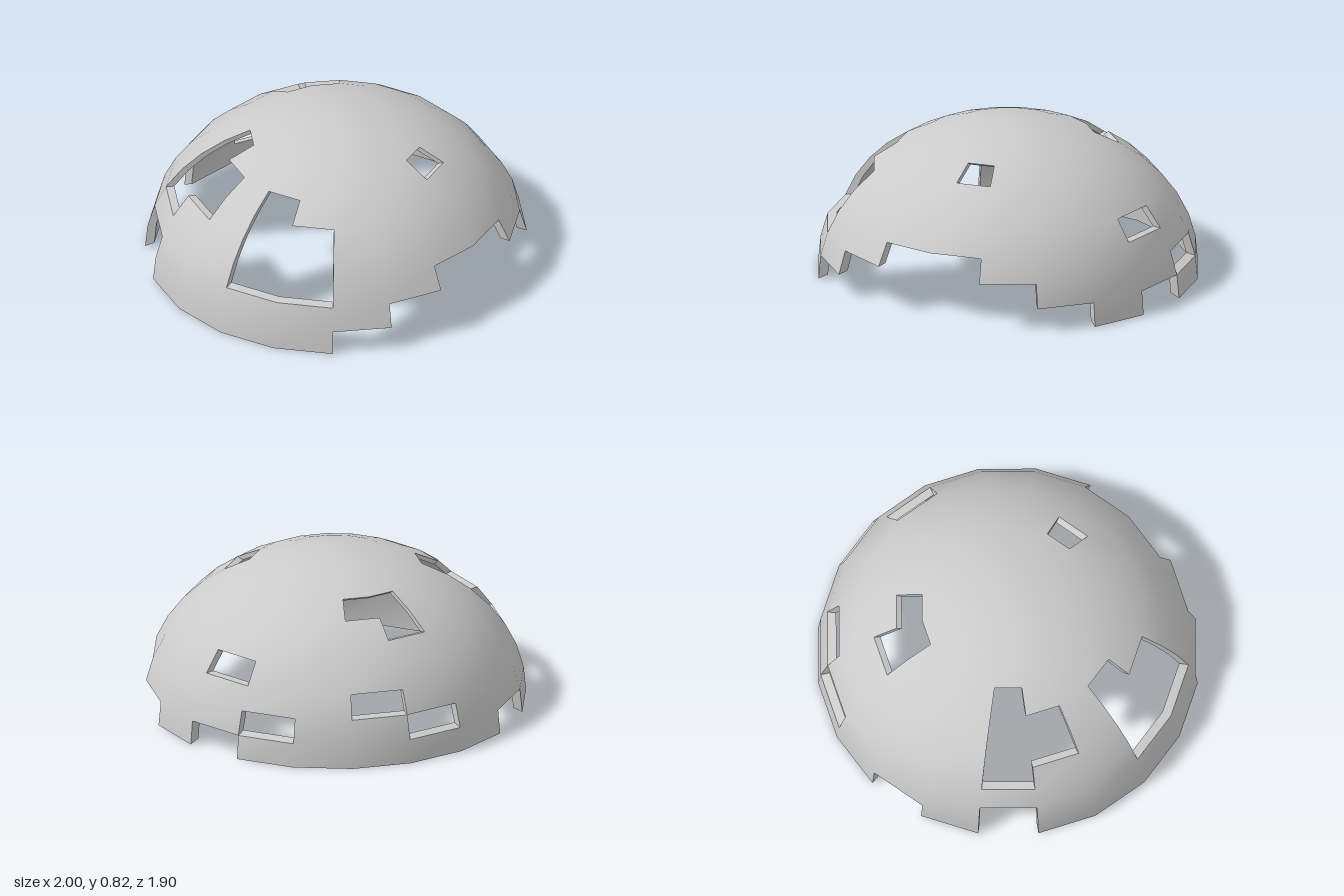
import * as THREE from 'three';
import { toCreasedNormals } from 'three/addons/utils/BufferGeometryUtils.js';

const SECTORS = 20, RINGS = 10;
const HEIGHT = 0.82, CENTRE_Z = 0.048, INNER_SCALE = 0.95;

// Missing panels: sector (counted from +x towards +z) -> rings (counted from the ground)
const GAPS = {
  0: [0, 3], 2: [0], 3: [0, 1], 4: [0, 1, 2, 6], 5: [0, 1, 2], 6: [0, 1], 7: [0],
  8: [2, 3, 4], 9: [2, 3, 4, 5], 11: [4, 5], 12: [0, 1, 3, 4, 5, 6],
  14: [0], 16: [1, 5, 6], 17: [2, 6], 19: [1],
};

function isSolid(ring, sector) {
  if (ring < 0) return false;
  if (ring >= RINGS) return true;
  const s = (sector + SECTORS) % SECTORS;
  return !(GAPS[s] || []).includes(ring);
}

// Corner of the panel grid on the outer surface
function outerPoint(ring, sector) {
  const lat = (ring / RINGS) * Math.PI / 2;
  const phi = ((sector % SECTORS) / SECTORS) * Math.PI * 2;
  const r = ring === RINGS ? 0 : Math.cos(lat);
  return new THREE.Vector3(r * Math.cos(phi), HEIGHT * Math.sin(lat), CENTRE_Z + r * Math.sin(phi));
}

// The inner surface is the outer one shrunk about the middle of the dome
const MIDDLE = new THREE.Vector3(0, HEIGHT / 2, 0);
const innerPoint = (p) => p.clone().sub(MIDDLE).multiplyScalar(INNER_SCALE).add(MIDDLE);

function shellGeometry() {
  const positions = [];
  const triangle = (...pts) => pts.forEach((p) => positions.push(p.x, p.y, p.z));
  const quad = (a, b, c, d) => {
    triangle(a, b, d);
    if (b.distanceTo(c) > 1e-6) triangle(b, c, d);
  };

  for (let i = 0; i < RINGS; i++) {
    for (let j = 0; j < SECTORS; j++) {
      if (!isSolid(i, j)) continue;
      const out = [outerPoint(i, j), outerPoint(i + 1, j), outerPoint(i + 1, j + 1), outerPoint(i, j + 1)];
      const inn = out.map(innerPoint);

      // Outer and inner skins
      quad(...out);
      quad(inn[3], inn[2], inn[1], inn[0]);

      // Thickness along edges that border a gap or the ground
      const neighbours = [[i, j - 1], [i + 1, j], [i, j + 1], [i - 1, j]];
      neighbours.forEach(([ni, nj], k) => {
        if (isSolid(ni, nj)) return;
        const n = (k + 1) % 4;
        quad(out[k], inn[k], inn[n], out[n]);
      });
    }
  }
  const geometry = new THREE.BufferGeometry();
  geometry.setAttribute('position', new THREE.Float32BufferAttribute(positions, 3));
  return toCreasedNormals(geometry, 0.7);
}

export function createModel() {
  const group = new THREE.Group();
  group.name = 'brokenDome';
  const shell = new THREE.Mesh(shellGeometry(), new THREE.MeshStandardMaterial({ color: 0xcccccc }));
  shell.name = 'domeShell';
  group.add(shell);
  return group;
}
